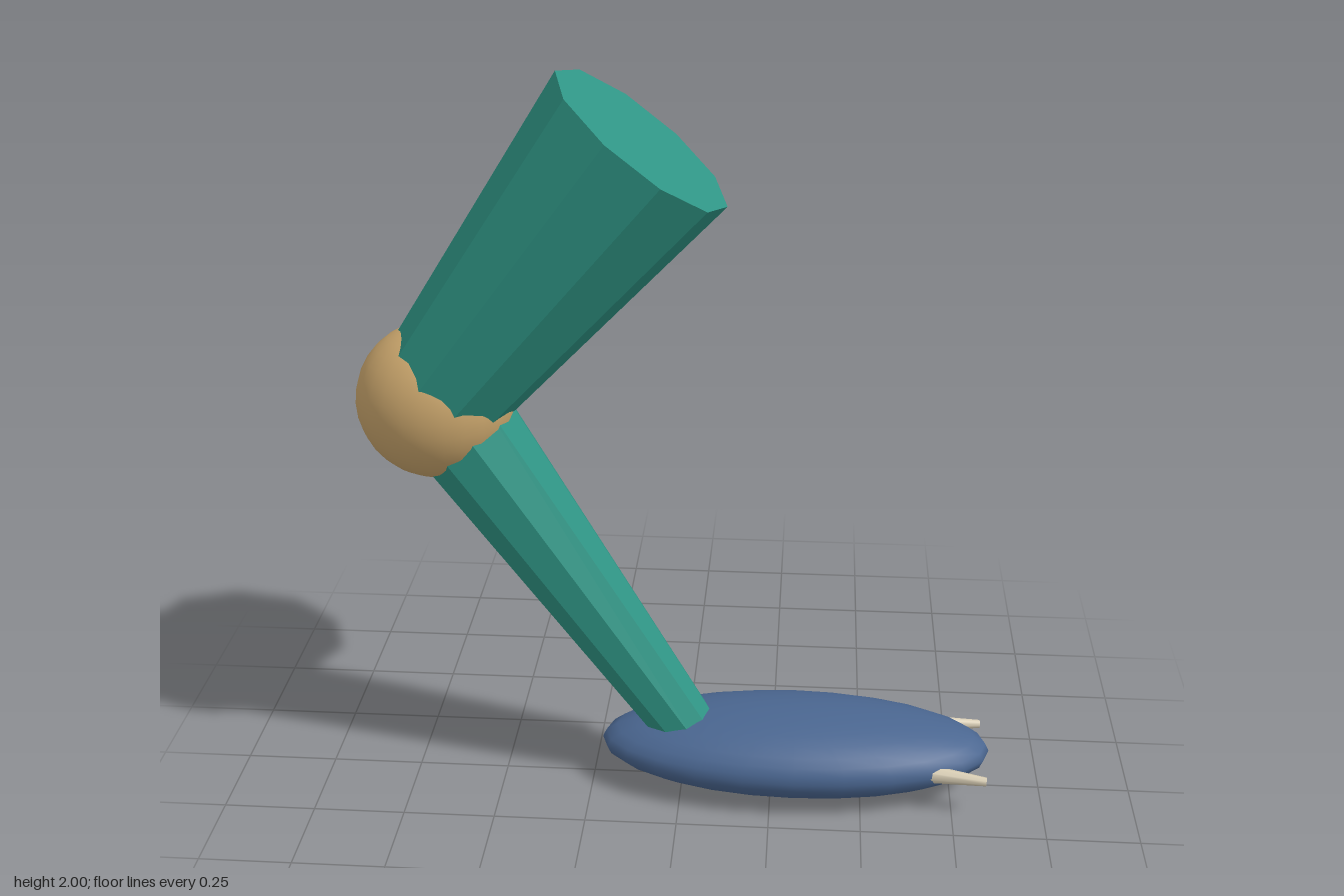
import * as THREE from 'three';

const material = (name, color, flatShading = false) => {
  const m = new THREE.MeshStandardMaterial({ color, flatShading });
  m.name = name;
  return m;
};

export function createModel() {
  const group = new THREE.Group();
  const teal = material('teal', 0x2f9585, true);
  const tan = material('tan', 0xc9a56c);
  const blue = material('slate blue', 0x4a6690);
  const bone = material('bone', 0xd8cdb4);

  // Tapered limb between two points, with a corner in the plane of the bend
  function limb(name, from, to, rFrom, rTo, sides, mat) {
    const a = new THREE.Vector3(...from), b = new THREE.Vector3(...to);
    const dir = b.clone().sub(a);
    const geo = new THREE.CylinderGeometry(rTo, rFrom, dir.length(), sides);
    geo.rotateY(Math.PI / 2);
    const mesh = new THREE.Mesh(geo, mat);
    mesh.name = name;
    mesh.position.copy(a).add(b).multiplyScalar(0.5);
    mesh.quaternion.setFromUnitVectors(new THREE.Vector3(0, 1, 0), dir.normalize());
    group.add(mesh);
  }

  function ellipsoid(name, centre, radii, mat) {
    const geo = new THREE.SphereGeometry(1, 24, 16);
    geo.scale(...radii);
    const mesh = new THREE.Mesh(geo, mat);
    mesh.name = name;
    mesh.position.set(...centre);
    group.add(mesh);
  }

  // Upper leg, knee and lower leg
  limb('thigh', [-0.655, 1.13, 0], [-0.1, 1.835, 0], 0.173, 0.27, 10, teal);
  ellipsoid('knee', [-0.65, 1.13, 0], [0.21, 0.21, 0.19], tan);
  limb('shin', [0.015, 0.15, 0], [-0.64, 1.14, 0], 0.085, 0.155, 10, teal);

  // Thin strut along the back side of the shin
  limb('shinStrut', [-0.13, 0.23, -0.124], [-0.625, 1.04, -0.147], 0.029, 0.029, 8, bone);

  // Foot with a claw on each side of the toe
  ellipsoid('foot', [0.315, 0.114, 0], [0.54, 0.114, 0.215], blue);
  for (const s of [1, -1]) {
    limb(s > 0 ? 'leftClaw' : 'rightClaw', [0.65, 0.116, s * 0.125],
      [0.84, 0.108, s * 0.149], 0.028, 0.012, 8, bone);
  }
  return group;
}
